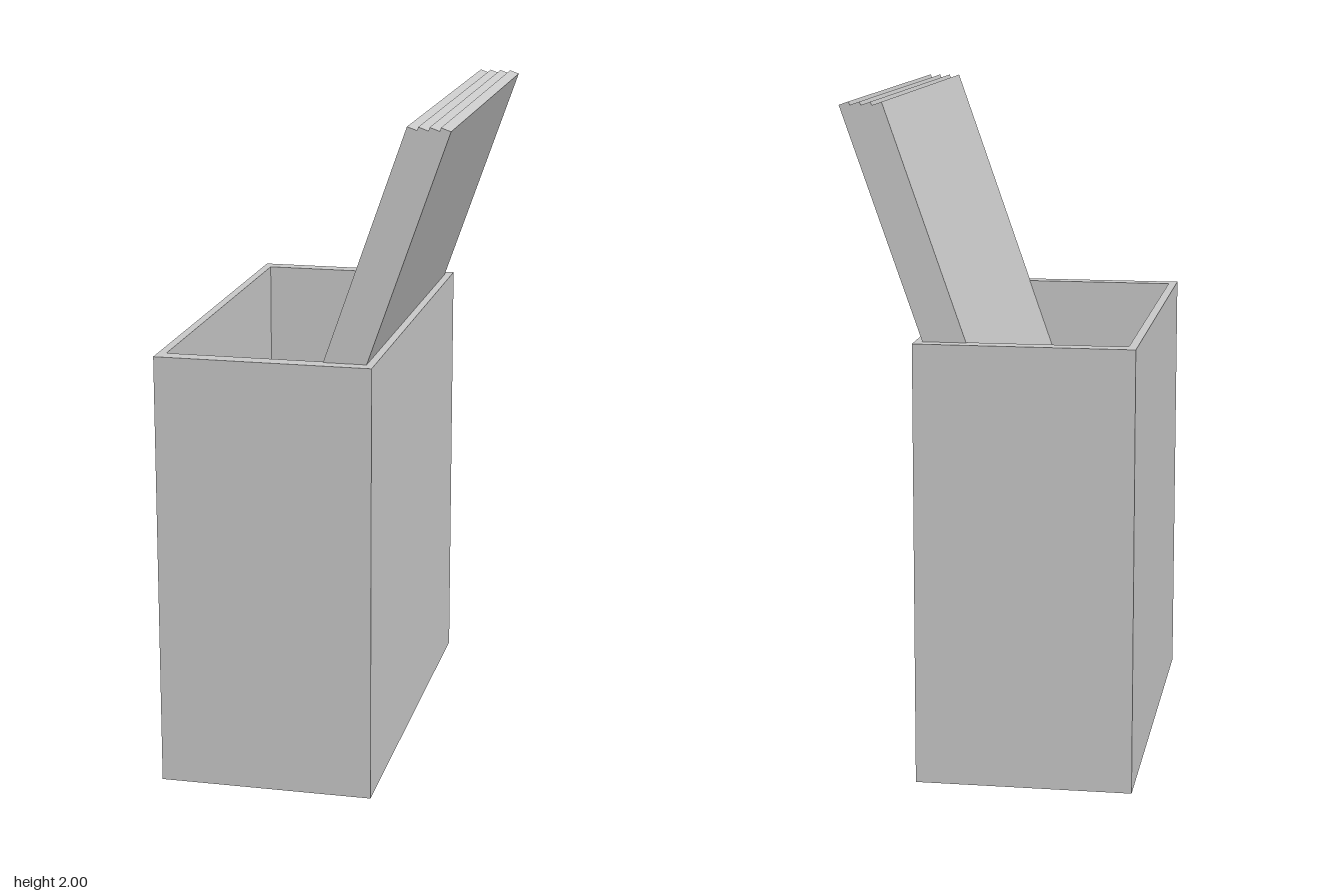
import * as THREE from 'three';

const material = new THREE.MeshStandardMaterial({ color: 0xcccccc, flatShading: true });

// Box spanning two opposite corners
function block(name, [x0, y0, z0], [x1, y1, z1]) {
  const mesh = new THREE.Mesh(new THREE.BoxGeometry(x1 - x0, y1 - y0, z1 - z0), material);
  mesh.position.set((x0 + x1) / 2, (y0 + y1) / 2, (z0 + z1) / 2);
  mesh.name = name;
  return mesh;
}

// Rectangle outline in the x-z plane
function rectangle(PathType, x0, x1, z) {
  return new PathType([[x0, -z], [x1, -z], [x1, z], [x0, z]].map(([x, y]) => new THREE.Vector2(x, y)));
}

export function createModel() {
  const group = new THREE.Group();
  group.name = 'boxWithPanels';

  // Open-topped box: a rectangular wall ring closed by a floor
  const height = 1.317, floorTop = 0.1;
  const ring = rectangle(THREE.Shape, -0.427, 0.215, 0.657);
  ring.holes.push(rectangle(THREE.Path, -0.402, 0.19, 0.608));
  const walls = new THREE.Mesh(
    new THREE.ExtrudeGeometry(ring, { depth: height, bevelEnabled: false }).rotateX(-Math.PI / 2), material);
  walls.name = 'boxWalls';
  group.add(walls, block('boxFloor', [-0.402, 0, -0.608], [0.19, floorTop, 0.608]));

  // Four panels leaning against the +x wall, all level at the top
  const tilt = Math.atan(0.35), thickness = 0.03, length = 2.0;
  const spacing = thickness / Math.cos(tilt);
  const panels = new THREE.Group();
  panels.name = 'leaningPanels';
  for (let i = 0; i < 4; i++) {
    // Each geometry hangs from its upper -x edge, the pivot of the lean
    const geometry = new THREE.BoxGeometry(thickness, length, 1.234).translate(thickness / 2, -length / 2, 0);
    const panel = new THREE.Mesh(geometry, material);
    panel.name = `panel${i + 1}`;
    panel.position.set(0.304 + i * spacing, 2, 0);
    panel.rotation.z = -tilt;
    panels.add(panel);
  }
  group.add(panels);
  return group;
}
